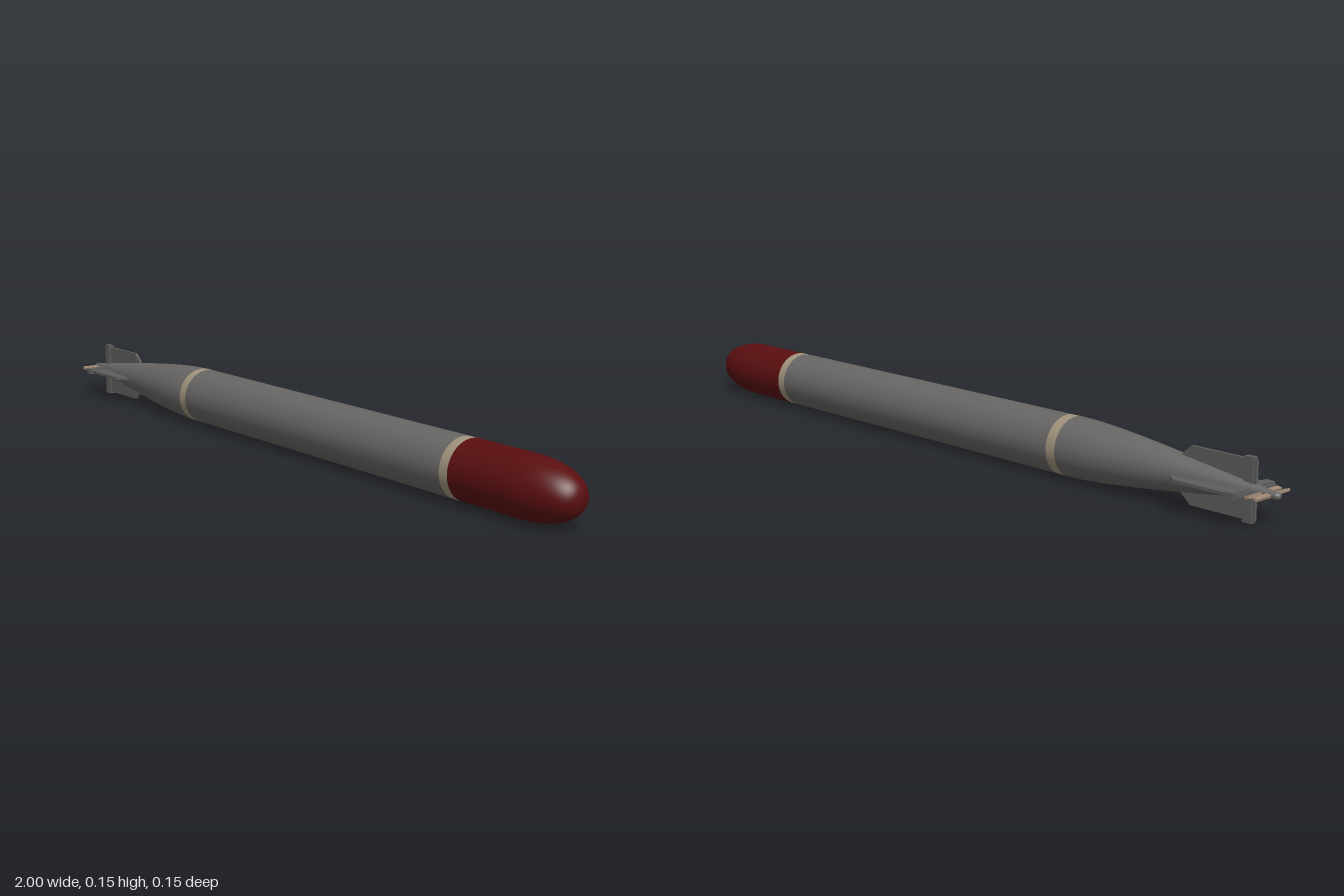
import * as THREE from 'three';

const R = 0.073, AXIS_Y = 0.0745;

const mat = (name, color, extra = {}) => {
  const m = new THREE.MeshStandardMaterial({ color, ...extra });
  m.name = name;
  return m;
};

export function createModel() {
  const grey = mat('hull grey', 0x686664);
  const finGrey = mat('fin grey', 0x5e5d5c);
  const cream = mat('band cream', 0xa0937c);
  const red = mat('nose red', 0x5a0f10);
  const bronze = mat('propeller bronze', 0x9c8574);

  const model = new THREE.Group();
  model.name = 'torpedo';
  const body = new THREE.Group();
  body.name = 'body';
  body.position.y = AXIS_Y;
  model.add(body);

  const add = (name, geometry, material, parent = body) => {
    const mesh = new THREE.Mesh(geometry, material);
    mesh.name = name;
    parent.add(mesh);
    return mesh;
  };

  // Round sections turned about the long axis; profile points are [x, radius]
  const turned = (name, profile, material, segments = 64) => {
    const g = new THREE.LatheGeometry(profile.map(([x, r]) => new THREE.Vector2(r, x)), segments);
    g.rotateZ(-Math.PI / 2);
    return add(name, g, material);
  };

  // Tail cone: a smooth curve from the thin shaft end to the full hull radius
  const tailCurve = new THREE.SplineCurve([
    [-1, 0.007], [-0.93, 0.017], [-0.85, 0.028], [-0.74, 0.043],
    [-0.62, 0.058], [-0.52, 0.068], [-0.46, 0.072], [-0.415, R],
  ].map(([x, r]) => new THREE.Vector2(x, r)));
  turned('tailCone', [[-1, 0], ...tailCurve.getPoints(32).map((p) => [p.x, p.y])], grey);

  // Cylindrical hull with a painted band at each end
  turned('rearBand', [[-0.415, R], [-0.387, R]], cream);
  turned('hull', [[-0.387, R], [0.645, R]], grey);
  turned('frontBand', [[0.645, R], [0.672, R]], cream);

  // Nose: straight wall running into a rounded end
  const nose = [[0.672, R], [0.84, R]];
  for (let i = 1; i <= 20; i++) {
    const a = (i / 20) * Math.PI / 2;
    nose.push([0.84 + 0.16 * Math.pow(Math.sin(a), 0.9), i === 20 ? 0 : R * Math.pow(Math.cos(a), 0.8)]);
  }
  turned('nose', nose, red);

  // Four tail fins, each with a rudder post at the trailing edge
  const finShape = new THREE.Shape([
    [-0.94, 0.005], [-0.74, 0.005], [-0.74, 0.046], [-0.765, 0.068], [-0.94, 0.068],
  ].map(([x, y]) => new THREE.Vector2(x, y)));
  const finGeometry = new THREE.ExtrudeGeometry(finShape, { depth: 0.007, bevelEnabled: false });
  finGeometry.translate(0, 0, -0.0035);
  const postGeometry = new THREE.BoxGeometry(0.024, 0.062, 0.014);
  postGeometry.translate(-0.922, 0.0425, 0);
  for (let i = 0; i < 4; i++) {
    const fin = new THREE.Group();
    fin.name = 'tailFin' + (i + 1);
    fin.rotation.x = i * Math.PI / 2;
    add('finPlate', finGeometry, finGrey, fin);
    add('rudderPost', postGeometry, finGrey, fin);
    body.add(fin);
  }

  // Two propellers in line, each with a pair of pitched sideways blades
  [-0.957, -0.978].forEach((x, p) => {
    const propeller = new THREE.Group();
    propeller.name = p ? 'rearPropeller' : 'frontPropeller';
    propeller.position.x = x;
    for (const side of [-1, 1]) {
      const blade = add('blade', new THREE.BoxGeometry(0.012, 0.006, 0.05), bronze, propeller);
      blade.position.z = side * 0.033;
      blade.rotation.z = side * (p ? -0.25 : 0.25);
    }
    body.add(propeller);
  });

  return model;
}
